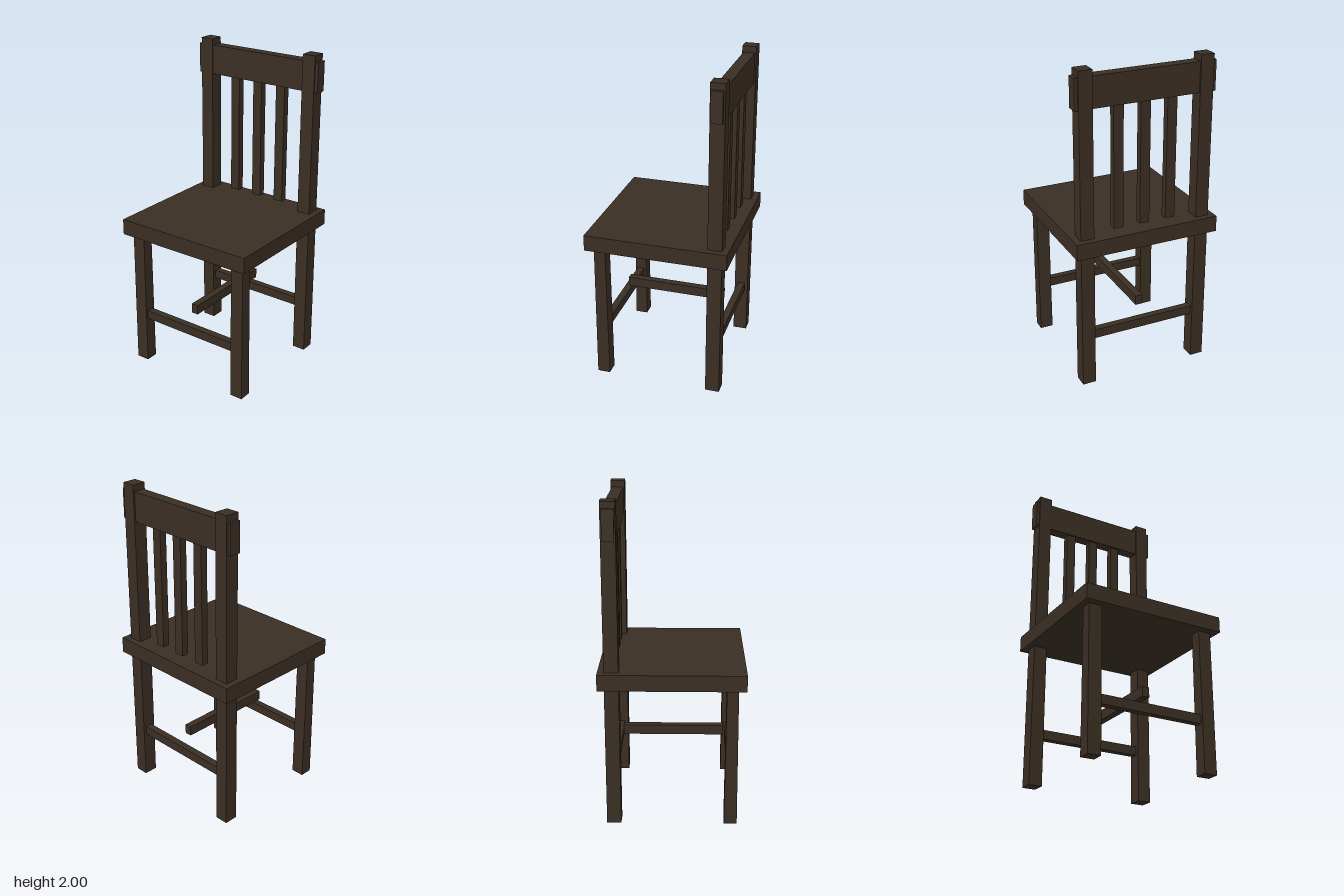
import * as THREE from 'three';

export function createModel() {
  const chair = new THREE.Group();
  chair.name = 'chair';
  const wood = new THREE.MeshStandardMaterial({ color: 0x3a2e23 });
  wood.name = 'darkWood';

  // Box given by its size and centre
  function block(name, w, h, d, x, y, z) {
    const mesh = new THREE.Mesh(new THREE.BoxGeometry(w, h, d), wood);
    mesh.name = name;
    mesh.position.set(x, y, z);
    chair.add(mesh);
    return mesh;
  }

  block('seat', 0.924, 0.1, 0.884, 0, 0.94, 0);

  for (const [side, s] of [['left', 1], ['right', -1]]) {
    // Back posts run from the floor to the top
    block(side + 'BackPost', 0.085, 2, 0.088, s * 0.379, 1, -0.359);

    // Front legs narrow very slightly towards the seat
    const leg = block(side + 'FrontLeg', 0.084, 0.9, 0.08, s * 0.379, 0.45, 0.36);
    const p = leg.geometry.attributes.position;
    for (let i = 0; i < p.count; i++) {
      if (p.getY(i) > 0) p.setZ(i, p.getZ(i) * 0.88);
    }
    leg.geometry.computeVertexNormals();
  }

  // Backrest: wide top rail and three upright slats
  block('topRail', 0.884, 0.186, 0.071, 0, 1.867, -0.358);
  for (const x of [-0.17, 0, 0.17]) {
    block('backSlat', 0.062, 0.765, 0.045, x, 1.3975, -0.358);
  }

  // Stretchers between the legs, and the raised middle one
  block('frontStretcher', 0.7, 0.058, 0.045, 0, 0.33, 0.36);
  block('backStretcher', 0.7, 0.058, 0.045, 0, 0.33, -0.36);
  block('middleStretcher', 0.046, 0.062, 0.64, 0, 0.455, 0);

  return chair;
}
